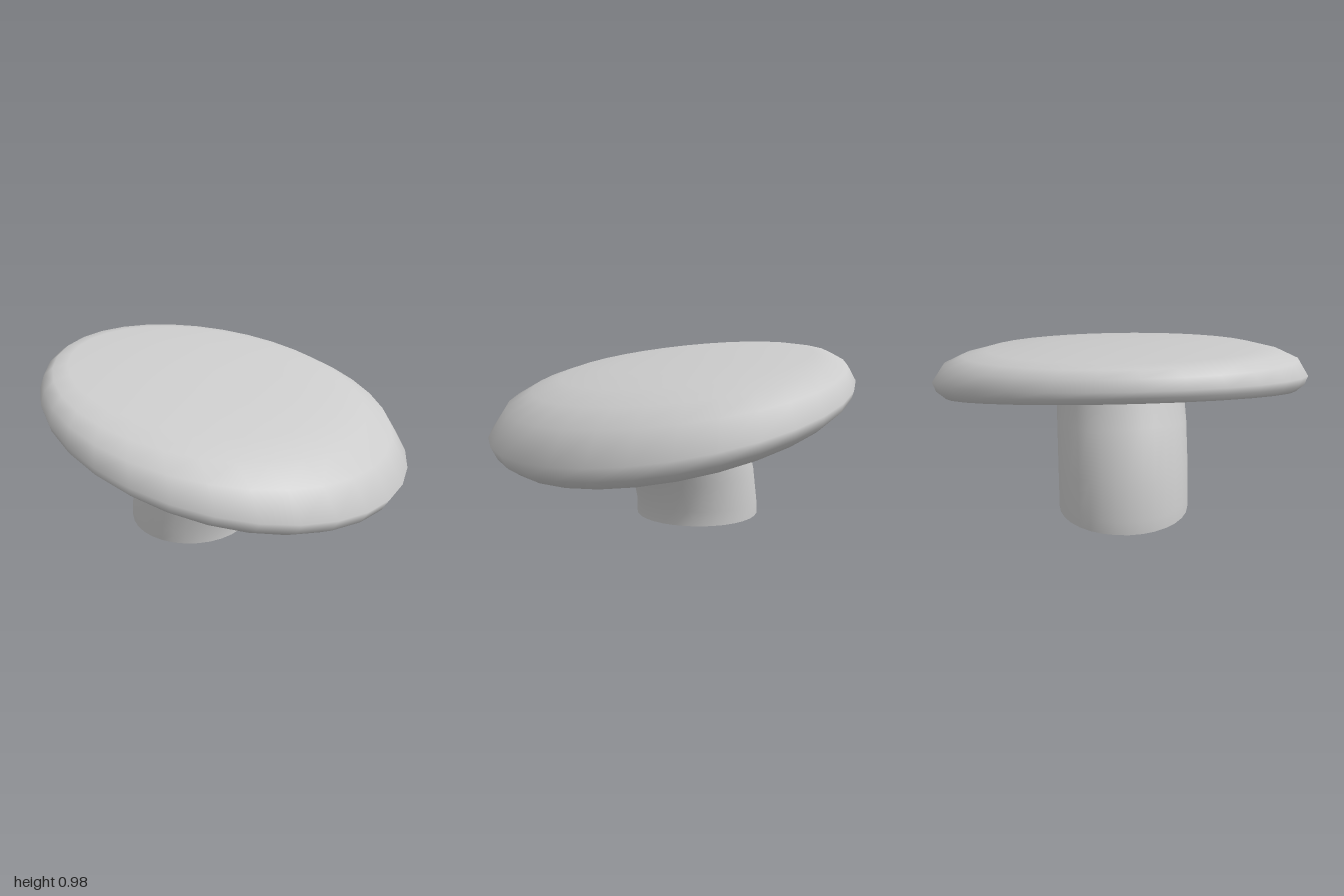
import * as THREE from 'three';
import { mergeVertices } from 'three/addons/utils/BufferGeometryUtils.js';

const SIDES = 32;

// Skins a stack of tilted ellipses: [left x, left y, right x, right y, half depth in z]
function loft(rings) {
  const positions = [];
  const index = [];
  rings.forEach(([lx, ly, rx, ry, depth], i) => {
    for (let j = 0; j < SIDES; j++) {
      const a = (j / SIDES) * Math.PI * 2;
      const t = (1 + Math.cos(a)) / 2;
      positions.push(lx + (rx - lx) * t, ly + (ry - ly) * t, depth * Math.sin(a));
      if (i === rings.length - 1) continue;
      const p = i * SIDES + j;
      const q = i * SIDES + ((j + 1) % SIDES);
      index.push(p, p + SIDES, q, q, p + SIDES, q + SIDES);
    }
  });
  let geometry = new THREE.BufferGeometry();
  geometry.setAttribute('position', new THREE.Float32BufferAttribute(positions, 3));
  geometry.setIndex(index);
  geometry = mergeVertices(geometry, 1e-5);
  geometry.computeVertexNormals();
  return geometry;
}

export function createModel() {
  const group = new THREE.Group();
  group.name = 'mushroomKnob';
  const material = new THREE.MeshStandardMaterial({ color: 0xcccccc, side: THREE.DoubleSide });

  const addPart = (name, rings) => {
    const mesh = new THREE.Mesh(loft(rings), material);
    mesh.name = name;
    group.add(mesh);
  };

  // Tilted cap, thicker at its low end, from the recessed underside round the rim to the top
  addPart('cap', [
    [-0.05, 0.62, -0.05, 0.62, 0],
    [-0.49, 0.74, 0.39, 0.498, 0.45],
    [-0.72, 0.815, 0.6, 0.452, 0.66],
    [-0.85, 0.832, 0.74, 0.394, 0.79],
    [-0.91, 0.822, 0.82, 0.343, 0.87],
    [-0.95, 0.83, 0.87, 0.336, 0.93],
    [-0.972, 0.86, 0.94, 0.38, 0.98],
    [-0.977, 0.89, 0.977, 0.45, 1],
    [-0.96, 0.94, 0.88, 0.61, 0.935],
    [-0.92, 0.968, 0.74, 0.7, 0.83],
    [-0.85, 0.975, 0.58, 0.77, 0.7],
    [-0.5, 0.95, 0.3, 0.83, 0.4],
    [-0.1, 0.902, -0.1, 0.902, 0],
  ]);

  // Curved hollow stem, open at the foot and flaring into the cap
  addPart('stem', [
    [-0.575, 0, 0.125, 0, 0.35],
    [-0.573, 0.07, 0.125, 0.08, 0.35],
    [-0.54, 0.27, 0.16, 0.21, 0.35],
    [-0.455, 0.52, 0.23, 0.38, 0.35],
    [-0.37, 0.645, 0.32, 0.475, 0.35],
    [-0.38, 0.7, 0.4, 0.5, 0.37],
    [-0.45, 0.74, 0.44, 0.51, 0.42],
  ]);

  return group;
}
